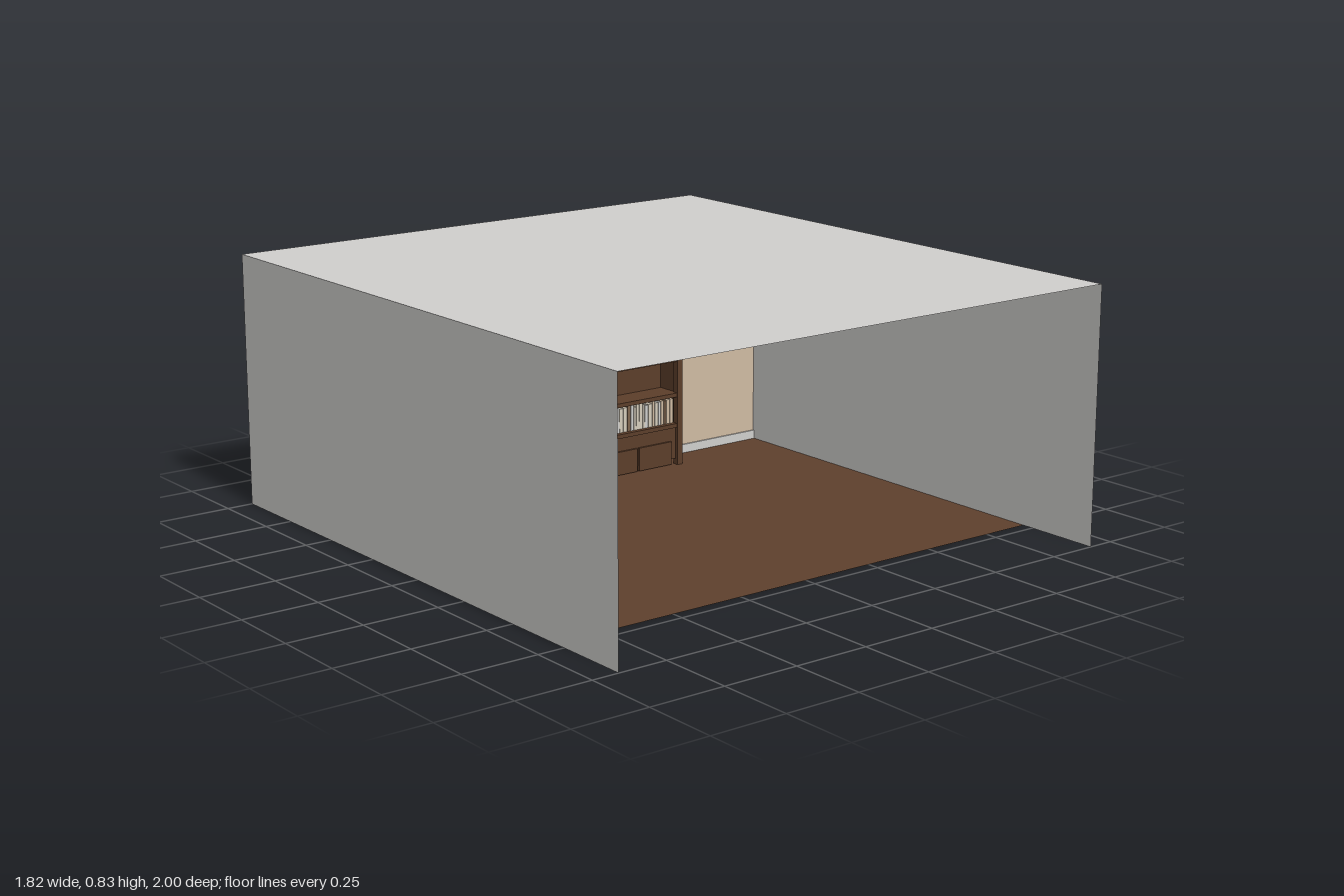
import * as THREE from 'three';

const mat = (name, color, side = THREE.FrontSide) => {
  const m = new THREE.MeshStandardMaterial({ color, side });
  m.name = name;
  return m;
};

export function createModel() {
  const M = {
    white: mat('white paint', 0xd0cfcd, THREE.DoubleSide),
    tan: mat('tan wall paint', 0xd0bba3, THREE.DoubleSide),
    floor: mat('floor wood', 0x5e402d, THREE.DoubleSide),
    wood: mat('shelf wood', 0x5c3e2a),
    desk: mat('desk wood', 0x5a3426),
    metal: mat('grey metal', 0x777777),
    cream: mat('cream paper', 0xd6cdbc),
    dark: mat('dark bark', 0x38251a),
    clay: mat('brown clay', 0x80664f),
  };
  const model = new THREE.Group();
  model.name = 'room';
  const W = 0.912, H = 0.83, WALL = -0.635;

  const group = (name, x = 0, y = 0, z = 0) => {
    const g = new THREE.Group();
    g.name = name;
    g.position.set(x, y, z);
    model.add(g);
    return g;
  };
  const add = (parent, name, geo, m, x = 0, y = 0, z = 0) => {
    const mesh = new THREE.Mesh(geo, m);
    mesh.name = name;
    mesh.position.set(x, y, z);
    parent.add(mesh);
    return mesh;
  };
  // box given by its limits on each axis
  const box = (parent, name, m, x0, x1, y0, y1, z0, z1) =>
    add(parent, name, new THREE.BoxGeometry(x1 - x0, y1 - y0, z1 - z0), m,
      (x0 + x1) / 2, (y0 + y1) / 2, (z0 + z1) / 2);
  const lathe = (pts, n = 32) => new THREE.LatheGeometry(pts.map(p => new THREE.Vector2(...p)), n);

  // Shell: ceiling, side walls, back wall, floor and skirting
  const shell = group('shell');
  add(shell, 'ceiling', new THREE.PlaneGeometry(2 * W, 2).rotateX(-Math.PI / 2), M.white, 0, H, 0);
  for (const s of [-1, 1]) {
    add(shell, s > 0 ? 'leftWall' : 'rightWall',
      new THREE.PlaneGeometry(2, H).rotateY(s * Math.PI / 2), M.white, s * W, H / 2, 0);
  }
  add(shell, 'backWall', new THREE.PlaneGeometry(2 * W, H), M.tan, 0, H / 2, WALL);
  add(shell, 'floor', new THREE.PlaneGeometry(2 * W, 1.42).rotateX(-Math.PI / 2), M.floor);
  box(shell, 'skirting', M.white, -W, W, 0, 0.03, WALL + 0.001, WALL + 0.007);

  // Bookcase, with posts and shelves reaching just through the wall
  const shelf = group('bookcase');
  const zb = WALL - 0.008, zf = -0.52;
  for (const x of [0.122, 0.479]) {
    for (const z of [zb, zf - 0.022]) box(shelf, 'post', M.wood, x, x + 0.022, 0, 0.515, z, z + 0.022);
    box(shelf, 'sidePanel', M.wood, x + 0.005, x + 0.017, 0.02, 0.5, WALL + 0.01, zf - 0.01);
  }
  for (const y of [0.49, 0.365, 0.24, 0.132]) {
    box(shelf, 'shelf', M.wood, 0.13, 0.493, y, y + 0.014, zb + 0.001, zf - 0.004);
  }
  box(shelf, 'backPanel', M.wood, 0.14, 0.483, 0.02, 0.5, WALL + 0.008, WALL + 0.014);
  box(shelf, 'cabinet', M.wood, 0.14, 0.483, 0.02, 0.133, WALL + 0.01, zf - 0.012);
  for (const x of [0.17, 0.317]) {
    box(shelf, 'door', M.wood, x, x + 0.14, 0.004, 0.085, zf - 0.02, zf - 0.004);
  }

  // Row of books of varied width and height
  let seed = 7;
  const rand = () => (seed = (seed * 16807) % 2147483647) / 2147483647;
  const covers = [M.cream, M.cream, M.white, M.tan, M.cream, M.clay];
  for (let x = 0.155, i = 0; x < 0.465; i++) {
    const w = 0.007 + rand() * 0.009;
    box(shelf, 'book', covers[Math.floor(rand() * covers.length)],
      x, x + w, 0.146, 0.222 + rand() * 0.014, WALL + 0.03, zf - 0.022);
    x += w + 0.002;
  }

  // Desk
  const desk = group('desk');
  const dz0 = -0.625, dz1 = -0.465, top = 0.215;
  box(desk, 'deskTop', M.desk, -0.502, -0.016, 0.199, top, dz0, dz1);
  for (const x of [-0.479, -0.035]) {
    for (const z of [dz0 + 0.015, dz1 - 0.015]) {
      box(desk, 'leg', M.metal, x - 0.004, x + 0.004, 0, 0.2, z - 0.004, z + 0.004);
    }
    box(desk, 'legBar', M.metal, x - 0.004, x + 0.004, 0.191, 0.199, dz0 + 0.015, dz1 - 0.015);
  }

  // Laptop: keyboard base and raised lid
  const laptop = group('laptop', -0.26, top, -0.515);
  box(laptop, 'laptopBase', M.white, -0.083, 0.083, 0, 0.006, -0.09, 0);
  box(laptop, 'keyboard', M.dark, -0.068, 0.068, 0.006, 0.007, -0.075, -0.03);
  const lidShape = new THREE.Shape([[-0.085, 0], [0.085, 0], [0.078, 0.07], [-0.078, 0.07]]
    .map(p => new THREE.Vector2(...p)));
  const lid = add(laptop, 'laptopLid',
    new THREE.ExtrudeGeometry(lidShape, { depth: 0.004, bevelEnabled: false }), M.white);
  lid.rotation.x = 0.35;

  // Lidded round jar
  const jar = group('jar', -0.425, top, -0.54);
  add(jar, 'jarBody', lathe([[0, 0], [0.016, 0], [0.025, 0.014], [0.028, 0.03],
    [0.024, 0.048], [0.014, 0.058], [0, 0.06]]), M.clay);
  add(jar, 'jarLid', lathe([[0.012, 0.057], [0.014, 0.062], [0.006, 0.066], [0.005, 0.07], [0, 0.071]]), M.dark);
  for (let i = 0; i < 5; i++) {
    const band = add(jar, 'jarBand', new THREE.TorusGeometry(0.0265, 0.003, 6, 32), M.dark, 0, 0.03, 0);
    band.rotation.y = i * Math.PI / 5;
  }

  // Bonsai: shallow pot, bent trunk, flat tiers of leaves
  const bonsai = group('bonsai', -0.1, top, -0.54);
  add(bonsai, 'pot', lathe([[0, 0], [0.02, 0], [0.024, 0.006], [0.033, 0.018], [0.033, 0.02],
    [0.029, 0.02], [0, 0.017]]), M.clay);
  const branch = (name, r, ...pts) => add(bonsai, name, new THREE.TubeGeometry(
    new THREE.CatmullRomCurve3(pts.map(p => new THREE.Vector3(...p))), 16, r, 7), M.dark);
  branch('trunk', 0.005, [0.004, 0.015, 0], [0.012, 0.035, 0], [-0.004, 0.055, 0], [0.006, 0.08, 0], [0.01, 0.108, 0]);
  const pads = [[-0.043, 0.07, 0.01, 0.016], [0.047, 0.063, 0, 0.017], [-0.025, 0.092, -0.012, 0.017],
    [0.035, 0.086, 0.014, 0.016], [0.01, 0.112, 0, 0.021], [0.008, 0.076, -0.03, 0.016], [-0.01, 0.068, 0.03, 0.014]];
  for (const [x, y, z, r] of pads) {
    branch('branch', 0.002, [0.002, y - 0.02, 0], [x * 0.6, y - 0.008, z * 0.6], [x, y, z]);
    for (let k = 0; k < 4; k++) {
      const a = k * 1.57 + rand();
      const leaf = add(bonsai, 'leaves', new THREE.SphereGeometry(r * 0.5, 8, 5), M.dark,
        x + Math.cos(a) * r * 0.5, y + rand() * 0.006, z + Math.sin(a) * r * 0.5);
      leaf.scale.y = 0.4;
    }
  }

  // Floor vase
  const vase = group('vase', 0.045, 0, -0.55);
  add(vase, 'vaseBody', lathe([[0, 0], [0.016, 0], [0.024, 0.014], [0.026, 0.026], [0.02, 0.043],
    [0.009, 0.06], [0.007, 0.08], [0.008, 0.092], [0.012, 0.098]]), M.white);

  return model;
}
